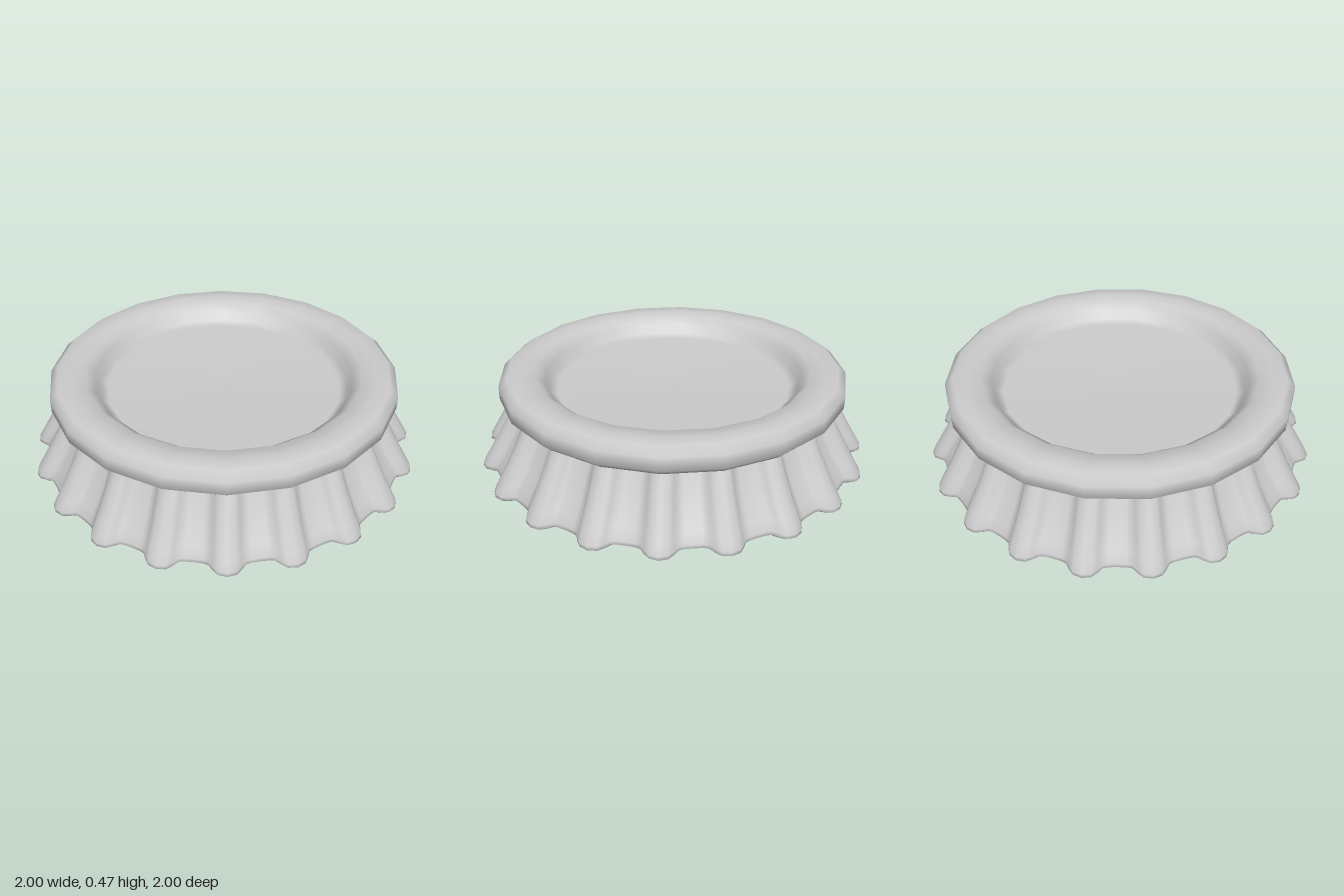
import * as THREE from 'three';

const FLUTES = 20;
const material = new THREE.MeshStandardMaterial({ color: 0xcccccc });

// Dished lid with a rounded, 20-sided raised rim
function makeLid() {
  const profile = [
    [0, 0.33], [0.6, 0.33], [0.8, 0.33], [0.84, 0.333], [0.88, 0.37], [0.88, 0.435],
    [0.84, 0.468], [0.77, 0.47], [0.7, 0.462], [0.655, 0.425], [0.635, 0.38], [0.6, 0.358], [0, 0.35],
  ].map(([r, y]) => new THREE.Vector2(r, y));
  const mesh = new THREE.Mesh(new THREE.LatheGeometry(profile, FLUTES), material);
  mesh.name = 'lid';
  return mesh;
}

// Flared skirt: one fluted wall with an outside, a hem and an inside
function makeSkirt() {
  // height, valley radius, flute depth: down the outside, then up the inside
  const rows = [
    [0.34, 0.765, 0.055], [0.25, 0.805, 0.06], [0.15, 0.857, 0.065], [0.07, 0.905, 0.065],
    [0.025, 0.931, 0.066], [0.008, 0.934, 0.066], [0, 0.924, 0.064],
    [0.003, 0.908, 0.062], [0.03, 0.895, 0.062], [0.07, 0.875, 0.062], [0.15, 0.83, 0.062],
    [0.25, 0.778, 0.057], [0.34, 0.738, 0.052],
  ];
  // angle in degrees from the flute's crest, share of the flute depth
  const flute = [
    [-9, 0], [-6.5, 0.03], [-5, 0.13], [-3.8, 0.5], [-2.4, 0.85], [0, 1],
    [2.4, 0.85], [3.8, 0.5], [5, 0.13], [6.5, 0.03],
  ];
  const around = FLUTES * flute.length;
  const positions = [];
  const index = [];
  rows.forEach(([y, valley, depth], i) => {
    for (let j = 0; j < around; j++) {
      const [offset, bump] = flute[j % flute.length];
      const step = Math.floor(j / flute.length) * 360 / FLUTES;
      const a = THREE.MathUtils.degToRad(step + offset);
      const r = valley + depth * bump;
      // the hem lifts slightly between flutes
      const lift = y < 0.1 ? 0.01 * (1 - bump) : 0;
      positions.push(r * Math.sin(a), y + lift, r * Math.cos(a));
      if (i < rows.length - 1) {
        const k = (j + 1) % around;
        const tl = i * around + j, tr = i * around + k;
        index.push(tl, tl + around, tr, tr, tl + around, tr + around);
      }
    }
  });
  const geometry = new THREE.BufferGeometry();
  geometry.setAttribute('position', new THREE.Float32BufferAttribute(positions, 3));
  geometry.setIndex(index);
  geometry.computeVertexNormals();
  const mesh = new THREE.Mesh(geometry, material);
  mesh.name = 'flutedSkirt';
  return mesh;
}

export function createModel() {
  const group = new THREE.Group();
  group.name = 'bottleCap';
  group.add(makeLid(), makeSkirt());
  return group;
}
